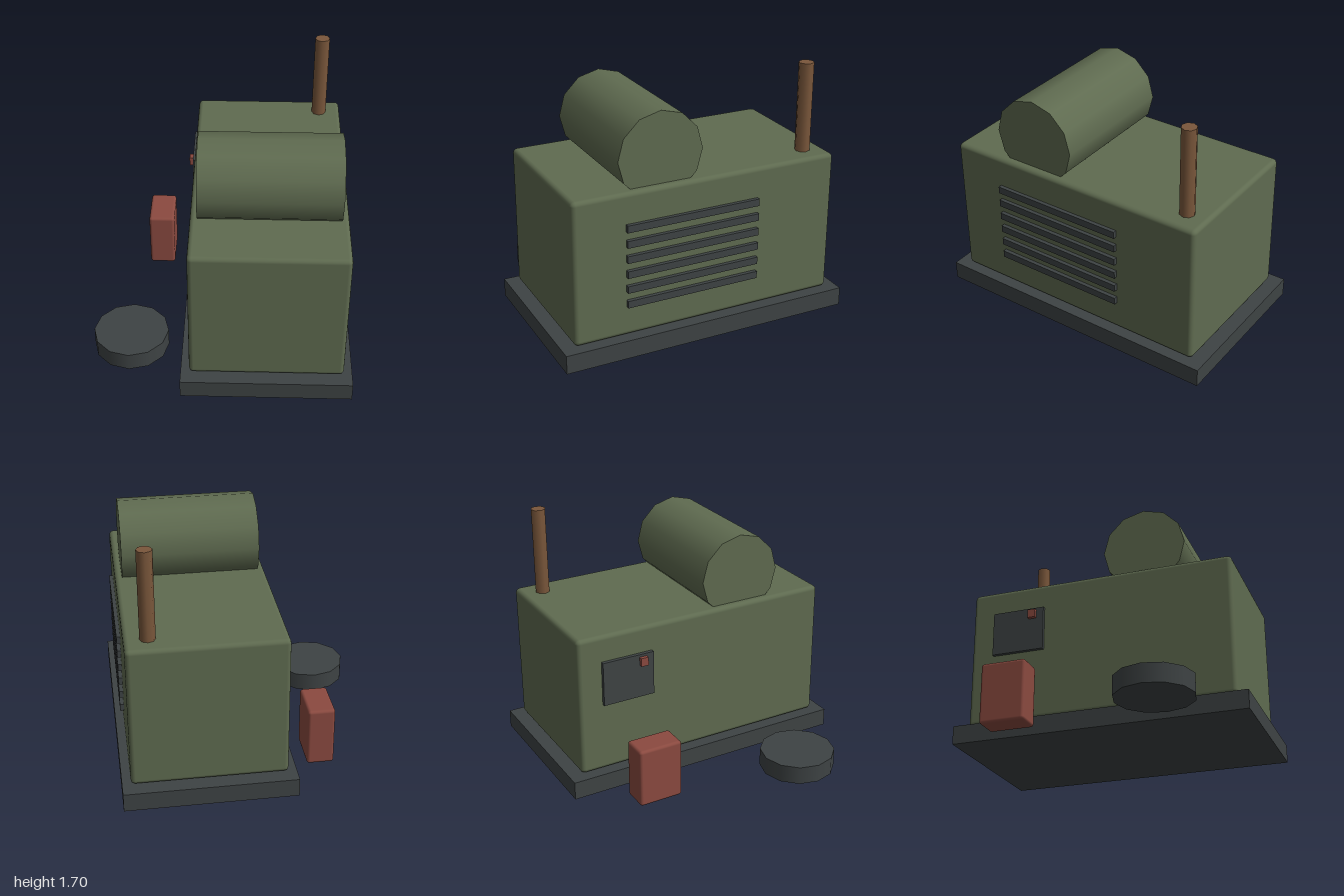
import * as THREE from 'three';
import { RoundedBoxGeometry } from 'three/addons/geometries/RoundedBoxGeometry.js';

function material(name, color) {
  const m = new THREE.MeshStandardMaterial({ color });
  m.name = name;
  return m;
}

export function createModel() {
  const olive = material('olive paint', 0x5f6b50);
  const charcoal = material('charcoal steel', 0x3e4344);
  const red = material('red paint', 0x8b4a40);
  const rust = material('rusty brown', 0x7a573b);

  const model = new THREE.Group();
  model.name = 'generator';

  function add(name, geometry, mat, x, y, z, parent = model) {
    const mesh = new THREE.Mesh(geometry, mat);
    mesh.name = name;
    mesh.position.set(x, y, z);
    parent.add(mesh);
    return mesh;
  }

  // Skid base and rounded housing, with a narrow gap between them
  add('skidBase', new THREE.BoxGeometry(1.127, 0.125, 2), charcoal, 0.305, 0.0625, 0);
  add('housing', new RoundedBoxGeometry(1.015, 0.967, 1.837, 2, 0.03), olive, 0.305, 0.6165, 0);

  // Fuel tank lying across the top, sunk into the housing
  const tank = add('fuelTank', new THREE.CylinderGeometry(0.286, 0.286, 0.92, 12), olive, 0.305, 1.284, 0.31);
  tank.rotation.z = Math.PI / 2;

  // Exhaust pipe
  add('exhaustPipe', new THREE.CylinderGeometry(0.05, 0.05, 0.61, 8), rust, 0.662, 1.39, -0.772);

  // Vent slats on the left side
  const vents = new THREE.Group();
  vents.name = 'ventSlats';
  model.add(vents);
  const slat = new THREE.BoxGeometry(0.05, 0.048, 0.92);
  for (let i = 0; i < 6; i++) {
    add('ventSlat', slat, charcoal, 0.813, 0.36 + i * 0.1025, 0.107, vents);
  }

  // Control panel with its switch on the right side
  add('controlPanel', new THREE.BoxGeometry(0.05, 0.305, 0.365), charcoal, -0.203, 0.768, -0.57);
  add('switch', new THREE.BoxGeometry(0.04, 0.058, 0.052), red, -0.234, 0.873, -0.465);

  // Fuel can and cable drum standing beside the base
  add('fuelCan', new RoundedBoxGeometry(0.182, 0.408, 0.305, 2, 0.02), red, -0.465, 0.205, -0.517);
  add('cableDrum', new THREE.CylinderGeometry(0.255, 0.255, 0.125, 12), charcoal, -0.616, 0.0625, 0.51);

  return model;
}
